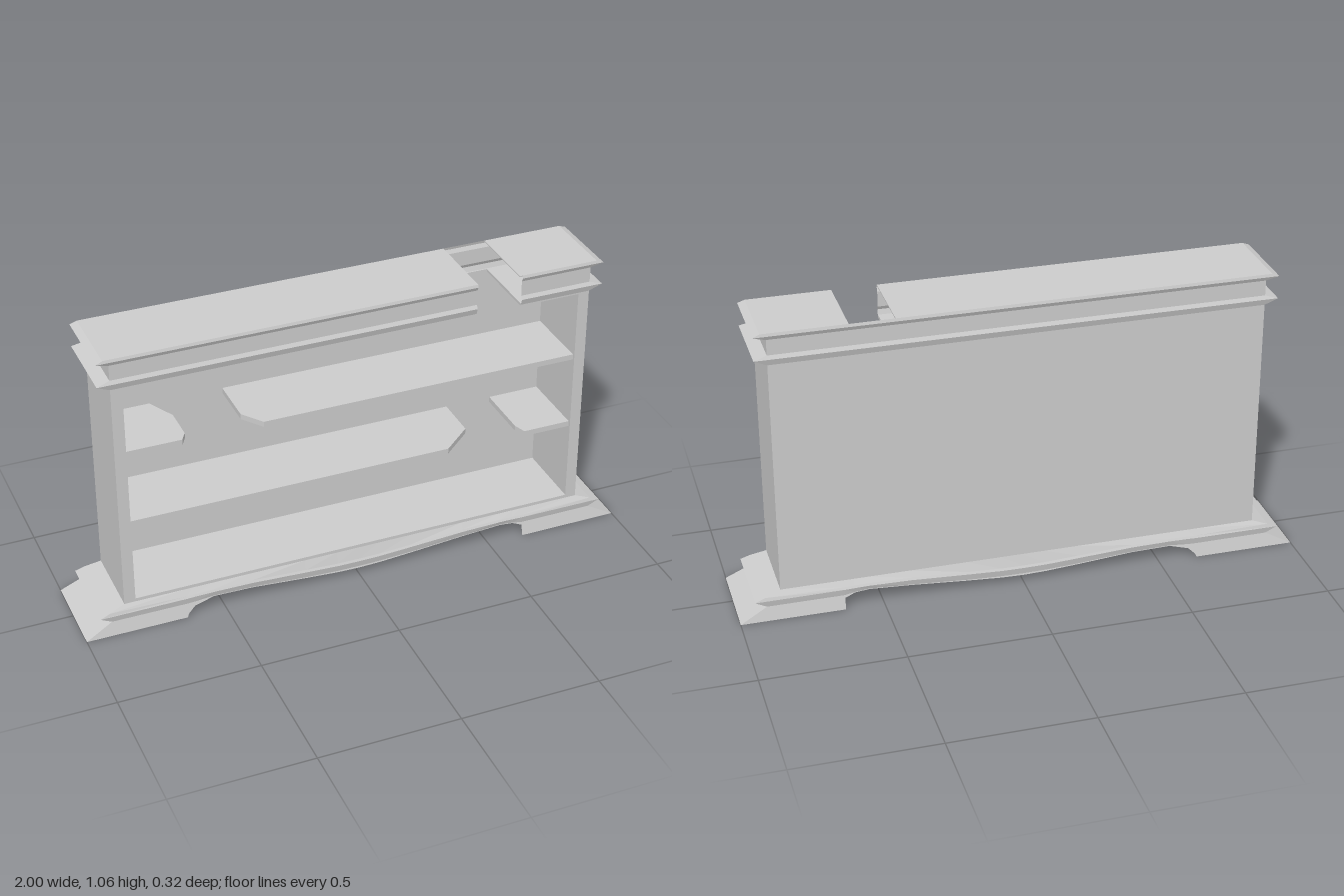
import * as THREE from 'three';

const material = new THREE.MeshStandardMaterial({ color: 0xcccccc, flatShading: true, side: THREE.DoubleSide });

function add(group, name, geometry) {
  const mesh = new THREE.Mesh(geometry, material);
  mesh.name = name;
  group.add(mesh);
  return mesh;
}

// Box given by its lower and upper limits
function box(group, name, [x0, y0, z0], [x1, y1, z1]) {
  const g = new THREE.BoxGeometry(x1 - x0, y1 - y0, z1 - z0);
  g.translate((x0 + x1) / 2, (y0 + y1) / 2, (z0 + z1) / 2);
  return add(group, name, g);
}

// Faceted skin through a row of equal-length cross-sections
function skin(group, name, sections) {
  const pos = [];
  for (let i = 0; i + 1 < sections.length; i++) {
    const a = sections[i], b = sections[i + 1];
    for (let j = 0; j + 1 < a.length; j++) {
      pos.push(...a[j], ...a[j + 1], ...b[j], ...b[j], ...a[j + 1], ...b[j + 1]);
    }
  }
  const g = new THREE.BufferGeometry();
  g.setAttribute('position', new THREE.Float32BufferAttribute(pos, 3));
  g.computeVertexNormals();
  return add(group, name, g);
}

const flipZ = (section) => section.map(([x, y, z]) => [x, y, -z]);
const flipX = (section) => section.map(([x, y, z]) => [-x, y, z]);

// Flat shelf from an outline in x and z
function shelf(group, name, y, outline) {
  const shape = new THREE.Shape(outline.map(([x, z]) => new THREE.Vector2(x, -z)));
  const g = new THREE.ExtrudeGeometry(shape, { depth: 0.02, bevelEnabled: false });
  g.rotateX(-Math.PI / 2);
  g.translate(0, y, 0);
  add(group, name, g);
}

function createCarcass() {
  const g = new THREE.Group();
  g.name = 'carcass';
  for (const s of [-1, 1]) {
    box(g, 'sidePanel', [s * 0.835 - 0.02, 0.1, -0.135], [s * 0.835 + 0.02, 0.955, 0.135]);
  }
  box(g, 'backPanel', [-0.815, 0.1, -0.135], [0.815, 0.955, -0.13]);
  box(g, 'floor', [-0.815, 0.1, -0.13], [0.815, 0.115, 0.135]);
  // The ceiling is broken away on the right of the front
  box(g, 'ceiling', [-0.815, 0.945, -0.13], [0.43, 0.955, 0.135]);
  box(g, 'ceiling', [0.595, 0.945, -0.13], [0.815, 0.955, 0.135]);
  return g;
}

function createShelves() {
  const g = new THREE.Group();
  g.name = 'brokenShelves';
  const f = 0.125, b = -0.13, e = 0.815;
  shelf(g, 'upperShelfStub', 0.68, [[-e, f], [-0.62, f], [-0.6, 0.09], [-0.6, -0.03], [-0.65, b], [-e, b]]);
  shelf(g, 'upperShelf', 0.68, [[-0.335, f], [e, f], [e, b], [-0.39, b], [-0.39, 0.05]]);
  shelf(g, 'lowerShelf', 0.405, [[-e, f], [0.345, f], [0.455, 0.03], [0.455, b], [-e, b]]);
  shelf(g, 'lowerShelfStub', 0.405, [[0.64, f], [e, f], [e, b], [0.625, b], [0.625, 0.08]]);
  return g;
}

function createCornice() {
  const g = new THREE.Group();
  g.name = 'cornice';
  // Moulding corner profile: x, y, z
  const corner = [
    [0.855, 0.95, 0.135], [0.9, 0.972, 0.142], [0.855, 0.985, 0.135],
    [0.855, 1.04, 0.135], [0.9, 1.054, 0.142], [0.875, 1.064, 0.139],
  ];
  const cut = (x) => corner.map(([, y, z]) => [x, y, z]);
  skin(g, 'frontMouldingLong', [flipX(corner), cut(0.43)]);
  skin(g, 'frontMouldingShort', [cut(0.595), corner]);
  skin(g, 'backMoulding', [flipZ(corner), flipZ(flipX(corner))]);
  skin(g, 'leftMoulding', [corner, flipZ(corner)]);
  skin(g, 'rightMoulding', [flipX(corner), flipZ(flipX(corner))]);
  box(g, 'topBoardLong', [-0.875, 1.06, -0.139], [0.43, 1.064, 0.139]);
  box(g, 'topBoardShort', [0.585, 1.06, -0.139], [0.875, 1.064, 0.139]);
  return g;
}

function createPlinth() {
  const g = new THREE.Group();
  g.name = 'plinth';
  // Stations along the apron: x, height of the lip, height of the lower edge
  const stations = [
    [-0.64, 0.073, 0], [-0.635, 0.073, 0.012], [-0.61, 0.074, 0.035], [-0.54, 0.075, 0.054],
    [-0.4, 0.073, 0.051], [-0.2, 0.062, 0.035], [-0.08, 0.056, 0.027], [0, 0.055, 0.025],
    [0.08, 0.056, 0.027], [0.2, 0.062, 0.035], [0.4, 0.073, 0.051], [0.55, 0.076, 0.06],
    [0.6, 0.075, 0.055], [0.635, 0.074, 0.04], [0.636, 0.074, 0],
  ];
  const section = ([x, lip, low]) => {
    const under = Math.max(lip - 0.024, low + 0.002);
    return [[x, 0.103, 0.135], [x, lip + 0.008, 0.147], [x, lip, 0.151],
      [x, under, 0.146], [x, low, 0.146 + (under - low) * 0.25]];
  };
  // Mitred corner, spreading out to the foot
  const corner = [[0.855, 0.103, 0.135], [0.91, 0.086, 0.147], [0.945, 0.073, 0.151],
    [0.905, 0.05, 0.146], [1, 0, 0.158]];
  const run = [flipX(corner), ...stations.map(section), corner];
  skin(g, 'frontApron', run);
  skin(g, 'backApron', run.map(flipZ));
  skin(g, 'leftFootSide', [corner, flipZ(corner)]);
  skin(g, 'rightFootSide', [flipX(corner), flipZ(flipX(corner))]);
  return g;
}

export function createModel() {
  const model = new THREE.Group();
  model.name = 'brokenBookcase';
  model.add(createCarcass(), createShelves(), createCornice(), createPlinth());
  return model;
}
